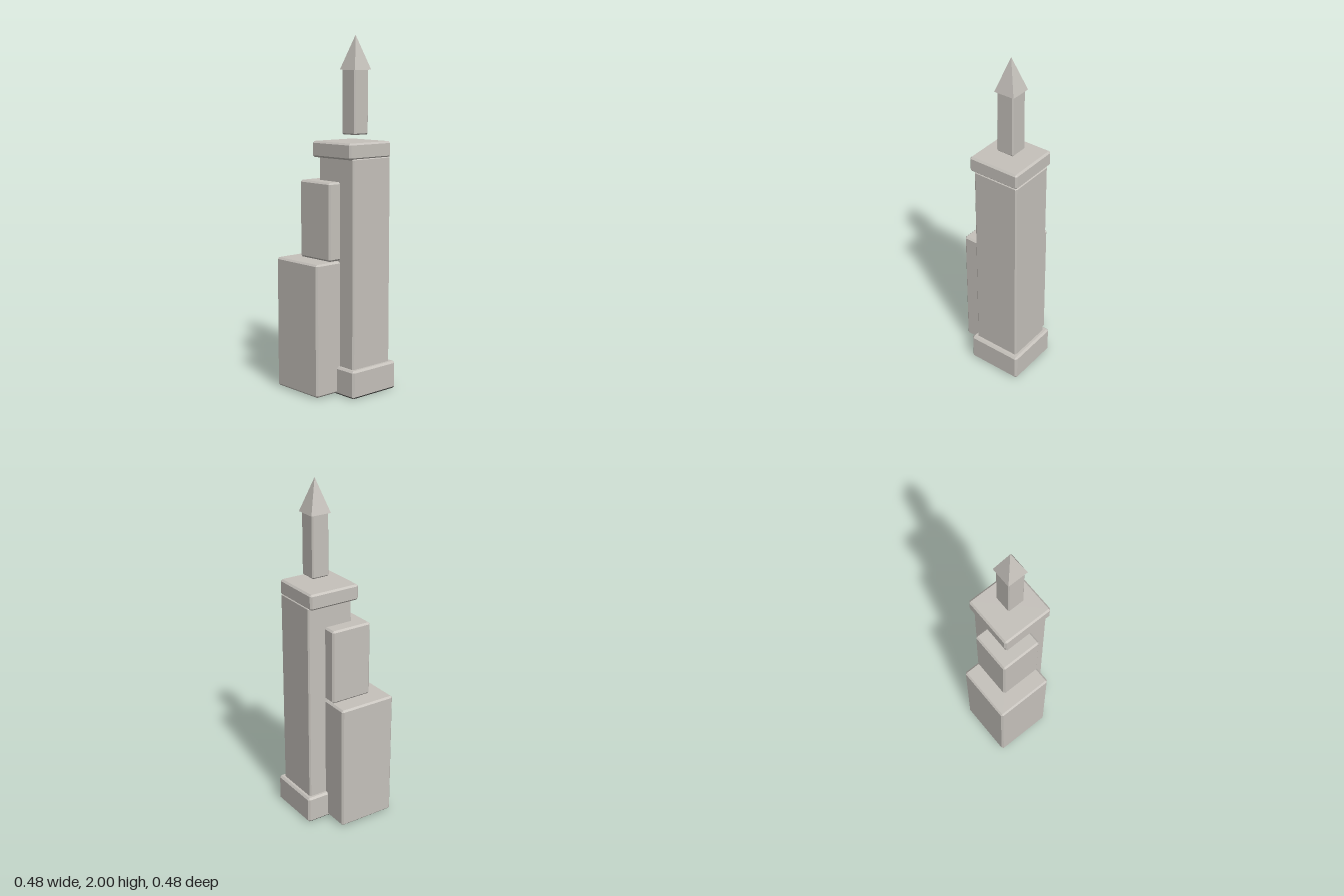
import * as THREE from 'three';
import { ConvexGeometry } from 'three/addons/geometries/ConvexGeometry.js';

function material(name, color) {
  const m = new THREE.MeshStandardMaterial({ color });
  m.name = name;
  return m;
}
const stone = material('stone', 0xc5c1bb);
const darkUnderside = material('dark underside', 0x605f5d);

// Box with every edge cut at 45 degrees
function chamferedBox(w, h, d, c) {
  const points = [];
  for (const x of [-1, 1]) for (const y of [-1, 1]) for (const z of [-1, 1]) {
    for (let axis = 0; axis < 3; axis++) {
      const inset = [c, c, c];
      inset[axis] = 0;
      points.push(new THREE.Vector3(x * (w / 2 - inset[0]), y * (h / 2 - inset[1]), z * (d / 2 - inset[2])));
    }
  }
  return new ConvexGeometry(points);
}

// Give faces that point down more steeply than the limit the second material
function groupUnderside(geometry, limit) {
  const normal = geometry.attributes.normal;
  for (let i = 0; i < normal.count; i += 3) {
    geometry.addGroup(i, 3, normal.getY(i) < -limit ? 1 : 0);
  }
}

export function createModel() {
  const group = new THREE.Group();
  group.name = 'tower';

  // Place a block by its extents on each axis
  function block(name, [x0, x1], [y0, y1], [z0, z1], bevel, undersideLimit) {
    const geometry = chamferedBox(x1 - x0, y1 - y0, z1 - z0, bevel);
    if (undersideLimit) groupUnderside(geometry, undersideLimit);
    const mesh = new THREE.Mesh(geometry, undersideLimit ? [stone, darkUnderside] : stone);
    mesh.name = name;
    mesh.position.set((x0 + x1) / 2, (y0 + y1) / 2, (z0 + z1) / 2);
    group.add(mesh);
  }

  // Main tower
  block('base', [-0.092, 0.239], [0, 0.16], [-0.241, 0.09], 0.011, 0.6);
  block('shaft', [-0.068, 0.213], [0.15, 1.335], [-0.216, 0.067], 0.008);
  block('cap', [-0.097, 0.215], [1.328, 1.418], [-0.217, 0.095], 0.01);

  // Stepped side blocks
  block('lowerBlock', [-0.24, 0.104], [0.008, 0.758], [-0.107, 0.238], 0.01, 0.9);
  block('upperBlock', [-0.146, 0.104], [0.763, 1.2], [-0.107, 0.143], 0.01);

  // Spire, hovering just above the cap
  block('spirePost', [0.02, 0.126], [1.455, 1.82], [-0.128, -0.022], 0.007);
  const roof = new THREE.ConeGeometry(0.0615 * Math.SQRT2, 0.19, 4, 1).toNonIndexed();
  roof.rotateY(Math.PI / 4);
  roof.computeVertexNormals();
  const tip = new THREE.Mesh(roof, stone);
  tip.name = 'spireTip';
  tip.position.set(0.074, 1.905, -0.076);
  group.add(tip);

  return group;
}
